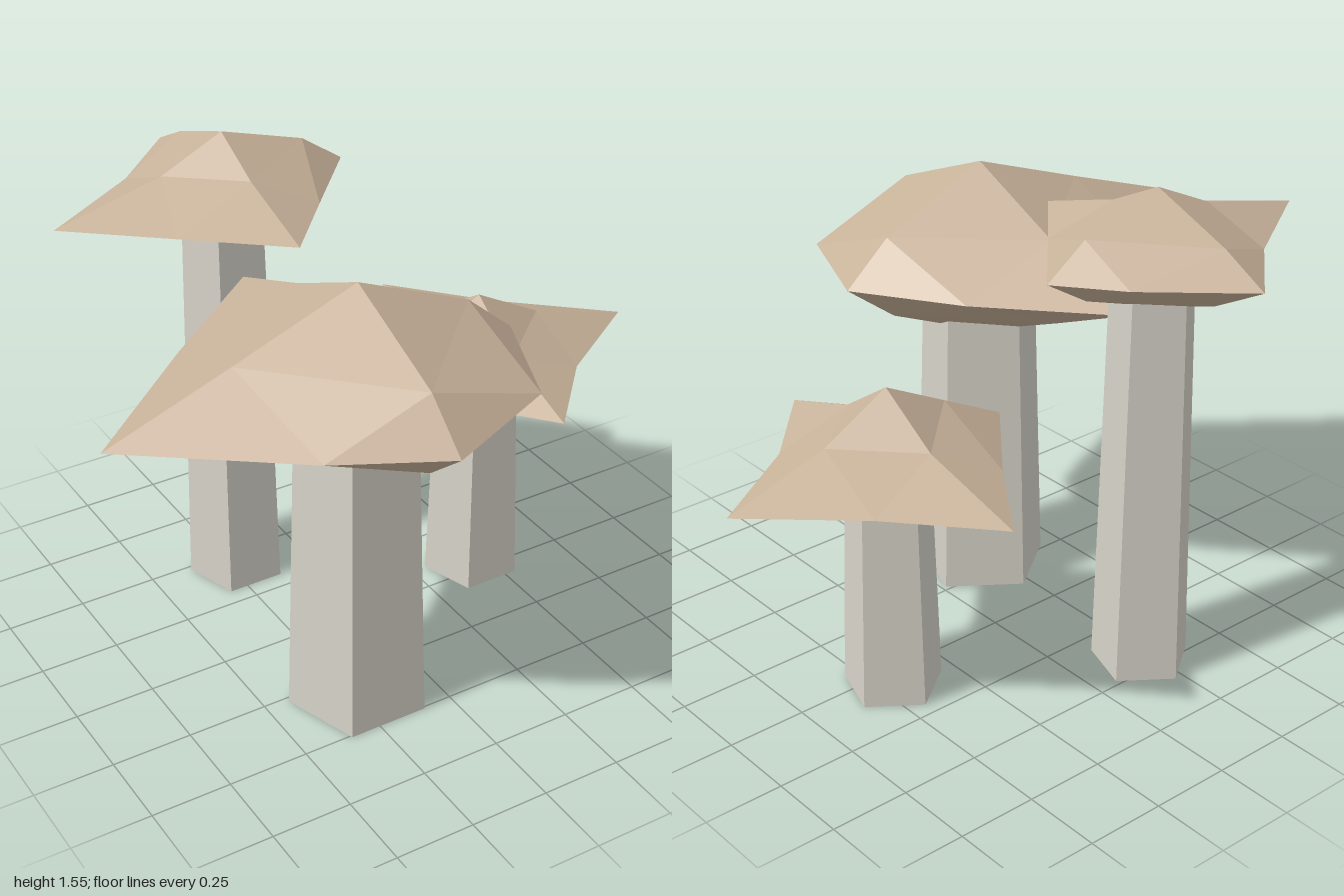
import * as THREE from 'three';

const capMaterial = new THREE.MeshStandardMaterial({ color: 0xc8b29a, flatShading: true });
const stemMaterial = new THREE.MeshStandardMaterial({ color: 0xd6d2c8, flatShading: true, side: THREE.DoubleSide });

// rim: eight [x, z] points, turning from +x towards +z
// upper / lower: [radius, height] towards +x, +z, -x, -z
const MUSHROOMS = [
  {
    name: 'wideMushroom', x: -0.22, z: 0.333, capY: 1.12, top: 0.285, bottom: -0.28,
    stemRadius: [0.183, 0.215],
    rim: [[0.51, 0], [0.37, 0.35], [0, 0.515], [-0.315, 0.35], [-0.78, 0], [-0.365, -0.365], [0, -0.66], [0.31, -0.31]],
    upper: [[0.36, 0.13], [0.37, 0.13], [0.39, 0.14], [0.33, 0.13]],
    lower: [[0.34, -0.13], [0.37, -0.12], [0.35, -0.15], [0.36, -0.13]],
  },
  {
    name: 'tallMushroom', x: -0.22, z: -0.435, capY: 1.37, top: 0.18, bottom: -0.18,
    stemRadius: [0.128, 0.155],
    rim: [[0.405, 0], [0.19, 0.24], [0, 0.455], [-0.27, 0.23], [-0.545, 0], [-0.22, -0.205], [0, -0.415], [0.265, -0.177]],
    upper: [[0.27, 0.095], [0.175, 0.09], [0.2, 0.085], [0.265, 0.08]],
    lower: [[0.26, -0.09], [0.2, -0.1], [0.22, -0.09], [0.235, -0.1]],
  },
  {
    name: 'smallMushroom', x: 0.445, z: -0.05, capY: 0.78, top: 0.22, bottom: -0.18,
    stemRadius: [0.132, 0.155],
    rim: [[0.55, 0], [0.23, 0.21], [0, 0.46], [-0.21, 0.205], [-0.42, 0], [-0.195, -0.28], [0, -0.555], [0.25, -0.27]],
    upper: [[0.22, 0.1], [0.19, 0.09], [-0.21, 0.11].map(Math.abs), [0.2, 0.09]],
    lower: [[0.24, -0.1], [0.21, -0.09], [0.22, -0.1], [0.19, -0.11]],
  },
];

// Irregular cap: a once-divided octahedron whose corners move to the listed places
function makeCap({ top, bottom, rim, upper, lower }) {
  const geometry = new THREE.OctahedronGeometry(1, 1);
  const p = geometry.attributes.position;
  for (let i = 0; i < p.count; i++) {
    const x = p.getX(i), y = p.getY(i), z = p.getZ(i);
    const step = (Math.round(Math.atan2(z, x) / (Math.PI / 4)) + 8) % 8;
    if (Math.abs(y) > 0.9) {
      p.setXYZ(i, 0, y > 0 ? top : bottom, 0);
    } else if (Math.abs(y) < 0.1) {
      p.setXYZ(i, rim[step][0], 0, rim[step][1]);
    } else {
      const [radius, height] = (y > 0 ? upper : lower)[step / 2];
      const angle = step * Math.PI / 4;
      p.setXYZ(i, radius * Math.cos(angle), height, radius * Math.sin(angle));
    }
  }
  geometry.computeVertexNormals();
  return new THREE.Mesh(geometry, capMaterial);
}

// Five-sided tapering stem, open at both ends, flat side to the front
function makeStem({ stemRadius, capY }) {
  const height = capY - 0.06;
  const geometry = new THREE.CylinderGeometry(...stemRadius, height, 5, 1, true, Math.PI);
  geometry.translate(0, height / 2, 0);
  return new THREE.Mesh(geometry, stemMaterial);
}

export function createModel() {
  const model = new THREE.Group();
  model.name = 'mushroomCluster';
  for (const spec of MUSHROOMS) {
    const mushroom = new THREE.Group();
    mushroom.name = spec.name;
    mushroom.position.set(spec.x, 0, spec.z);

    const cap = makeCap(spec);
    cap.name = 'cap';
    cap.position.y = spec.capY;

    const stem = makeStem(spec);
    stem.name = 'stem';

    mushroom.add(cap, stem);
    model.add(mushroom);
  }
  return model;
}
